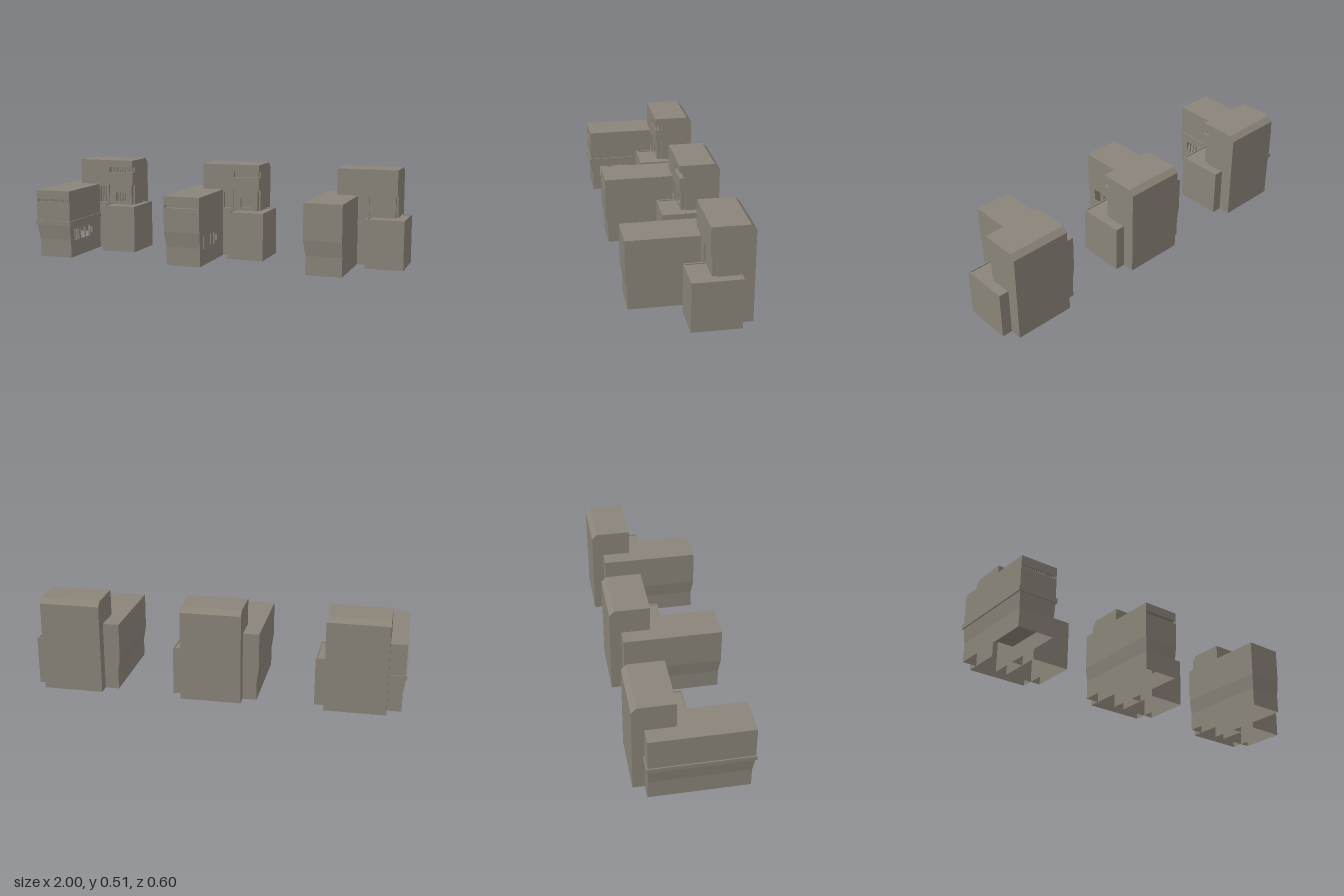
import * as THREE from 'three';

const stone = new THREE.MeshStandardMaterial({ color: 0x8a8479, side: THREE.DoubleSide });
stone.name = 'stone';

function add(group, name, geometry) {
  const mesh = new THREE.Mesh(geometry, stone);
  mesh.name = name;
  group.add(mesh);
  return mesh;
}

// Flat-shaded quads, each given as four corners
function quads(list) {
  const pos = [];
  for (const [a, b, c, d] of list) pos.push(...a, ...b, ...c, ...a, ...c, ...d);
  const g = new THREE.BufferGeometry();
  g.setAttribute('position', new THREE.Float32BufferAttribute(pos, 3));
  g.computeVertexNormals();
  return g;
}

// Drops the triangles for which test(a, b, c) is true
function without(geometry, test) {
  const g = geometry.index ? geometry.toNonIndexed() : geometry;
  const p = g.attributes.position, pos = [];
  for (let i = 0; i < p.count; i += 3) {
    const t = [0, 1, 2].map(k => new THREE.Vector3().fromBufferAttribute(p, i + k));
    if (!test(t)) t.forEach(v => pos.push(v.x, v.y, v.z));
  }
  const out = new THREE.BufferGeometry();
  out.setAttribute('position', new THREE.Float32BufferAttribute(pos, 3));
  out.computeVertexNormals();
  return out;
}
const onGround = t => t.every(v => v.y < 0.001);

function box(x0, x1, y0, y1, z0, z1) {
  return new THREE.BoxGeometry(x1 - x0, y1 - y0, z1 - z0)
    .translate((x0 + x1) / 2, (y0 + y1) / 2, (z0 + z1) / 2);
}

function outline(points, holes = []) {
  const shape = new THREE.Shape(points.map(p => new THREE.Vector2(...p)));
  for (const [a, b, c, d] of holes) {
    shape.holes.push(new THREE.Path([[a, c], [a, d], [b, d], [b, c]].map(p => new THREE.Vector2(...p))));
  }
  return shape;
}

// Front-facing wall with recessed openings [x0, x1, y0, y1], optionally barred
function wall(group, name, x0, x1, y0, y1, z, openings, depth, barred) {
  const shape = outline([[x0, y0], [x1, y0], [x1, y1], [x0, y1]], openings);
  add(group, name, new THREE.ShapeGeometry(shape).translate(0, 0, z));
  for (const [a, b, c, d] of openings) {
    const w = z - depth;
    add(group, name + 'Recess', quads([
      [[a, c, w], [b, c, w], [b, d, w], [a, d, w]],
      [[a, c, z], [b, c, z], [b, c, w], [a, c, w]],
      [[a, d, w], [b, d, w], [b, d, z], [a, d, z]],
      [[a, c, z], [a, c, w], [a, d, w], [a, d, z]],
      [[b, c, w], [b, c, z], [b, d, z], [b, d, w]],
    ]));
    if (barred) bars(group, name + 'Bar', a, b, c, d, z - 0.008);
  }
}

function bars(group, name, a, b, c, d, z) {
  const n = Math.max(3, Math.round((b - a) / 0.011));
  for (let i = 1; i < n; i++) {
    const x = a + (b - a) * i / n;
    add(group, name, box(x - 0.0015, x + 0.0015, c, d, z - 0.003, z + 0.003));
  }
}

// Long wing: tapered foot on the front and outer side, windows on the inner side
function buildWing(group, level) {
  const L = -0.232, R = -0.03, F = 0.292, B = -0.235, H = 0.372;
  const rings = [[0, 0.011], [0.1, 0.011], [0.18, 0], [H, 0]];
  const list = [[[L, H, F], [R, H, F], [R, H, B], [L, H, B]]];
  for (let i = 0; i < 3; i++) {
    const [y0, a] = rings[i], [y1, b] = rings[i + 1];
    list.push([[L + a, y0, B], [L + a, y0, F - a], [L + b, y1, F - b], [L + b, y1, B]]);
    list.push([[R, y0, B], [L + a, y0, B], [L + b, y1, B], [R, y1, B]]);
    if (i < 2) list.push([[L + a, y0, F - a], [R, y0, F - a], [R, y1, F - b], [L + b, y1, F - b]]);
  }
  add(group, 'wingShell', quads(list));
  const slit = level > 0 ? [[L + 0.006, R - 0.006, 0.31, 0.325]] : [];
  wall(group, 'wingFront', L, R, 0.18, H, F, slit, 0.02, level > 1);

  // Inner side, drawn with z running along the shape's first axis
  const windows = level > 0 ? [[0.19, 0.24, 0.09, 0.155], [0.06, 0.165, 0.09, 0.155], [0.02, 0.048, 0.105, 0.14]] : [];
  const profile = [[B, 0], [F - 0.011, 0], [F - 0.011, 0.1], [F, 0.18], [F, H], [B, H]];
  const side = new THREE.ShapeGeometry(outline(profile, windows)).rotateY(-Math.PI / 2);
  side.translate(R, 0, 0);
  add(group, 'wingInnerSide', side);
  if (level === 1) add(group, 'windowMullion', box(R - 0.006, R, 0.09, 0.155, 0.108, 0.112));

  if (level > 1) {
    // Ledge, floor slab and window frames
    const e = 0.0065;
    add(group, 'wingLedge', box(L - e, R + e, 0.18, 0.204, B - e, F + e));
    add(group, 'wingFloor', box(L + 0.012, R - 0.001, 0.085, 0.089, -0.08, F - 0.013));
    for (const [a, b, c, d] of windows) {
      const t = 0.004;
      for (const z of [a, (a + b) / 2, b]) add(group, 'windowFrame', box(R - 0.008, R + t, c, d, z - t / 2, z + t / 2));
      for (const y of [c, d]) add(group, 'windowFrame', box(R - 0.008, R + t, y - t / 2, y + t / 2, a, b));
    }
  }
}

// Rear tower: bevelled back edge, recessed corner above the annex
function buildTower(group, level) {
  const L = -0.145, R = 0.18, F = -0.08, M = -0.115, H = 0.513;
  const profile = [[-0.297, 0], [F, 0], [F, 0.25], [M, 0.25], [M, H], [-0.27, H], [-0.297, 0.486]];
  const body = new THREE.ExtrudeGeometry(outline(profile), { depth: R - L, bevelEnabled: false });
  body.rotateY(-Math.PI / 2).translate(R, 0, 0);
  const hidden = t => onGround(t) || t.every(v => Math.abs(v.z - F) < 0.001 && v.y < 0.26);
  add(group, 'towerBody', without(body, hidden));

  // Gap between wing and annex, with its door opening
  const door = level > 0 ? [[-0.025, 0.02, 0.27, 0.36]] : [];
  wall(group, 'entranceWall', -0.03, 0.031, 0, 0.372, F, door, 0.02, level > 1);
  add(group, 'entranceReturn', quads([[[0.031, 0.25, F], [0.031, 0.25, M], [0.031, 0.372, M], [0.031, 0.372, F]]]));

  // Set-back wall with window
  const window = level > 0 ? [[0.07, 0.135, 0.272, 0.325]] : [];
  wall(group, 'setBackWall', 0.031, 0.17, 0.25, 0.372, -0.09, window, 0.02, level > 1);
  add(group, 'setBackReturn', quads([[[0.17, 0.25, -0.09], [0.17, 0.25, M], [0.17, 0.372, M], [0.17, 0.372, -0.09]]]));

  // Upper front, with a slot that turns the corner
  if (level === 0) {
    add(group, 'upperFront', box(L, R, 0.37, H, M, F));
  } else {
    add(group, 'upperFrontLow', box(L, R, 0.37, 0.443, M, F));
    add(group, 'upperFrontHigh', box(L, R, 0.474, H, M, F));
    add(group, 'upperFrontSide', box(L, 0.034, 0.443, 0.474, M, F));
    add(group, 'slotBack', box(0.034, 0.172, 0.443, 0.474, M, -0.1));
    if (level > 1) bars(group, 'slotBar', 0.034, 0.178, 0.443, 0.474, F - 0.008);
  }
}

// Low annex with a thin roof rim
function buildAnnex(group) {
  const L = 0.031, R = 0.235, B = -0.232, F = 0.02, H = 0.262, t = 0.008;
  add(group, 'annexBody', without(box(L, R, 0, H - 0.006, B, F), onGround));
  add(group, 'annexRim', box(L, R, H - 0.006, H, F - t, F));
  add(group, 'annexRim', box(L, R, H - 0.006, H, B, B + t));
  add(group, 'annexRim', box(L, L + t, H - 0.006, H, B + t, F - t));
  add(group, 'annexRim', box(R - t, R, H - 0.006, H, B + t, F - t));
}

export function createModel() {
  const model = new THREE.Group();
  model.name = 'buildings';
  // Three versions of one building, from most to least detailed
  ['detailedBuilding', 'mediumBuilding', 'simpleBuilding'].forEach((name, i) => {
    const building = new THREE.Group();
    building.name = name;
    building.position.x = (i - 1) * 0.764;
    const level = 2 - i;
    buildWing(building, level);
    buildTower(building, level);
    buildAnnex(building);
    model.add(building);
  });
  return model;
}
